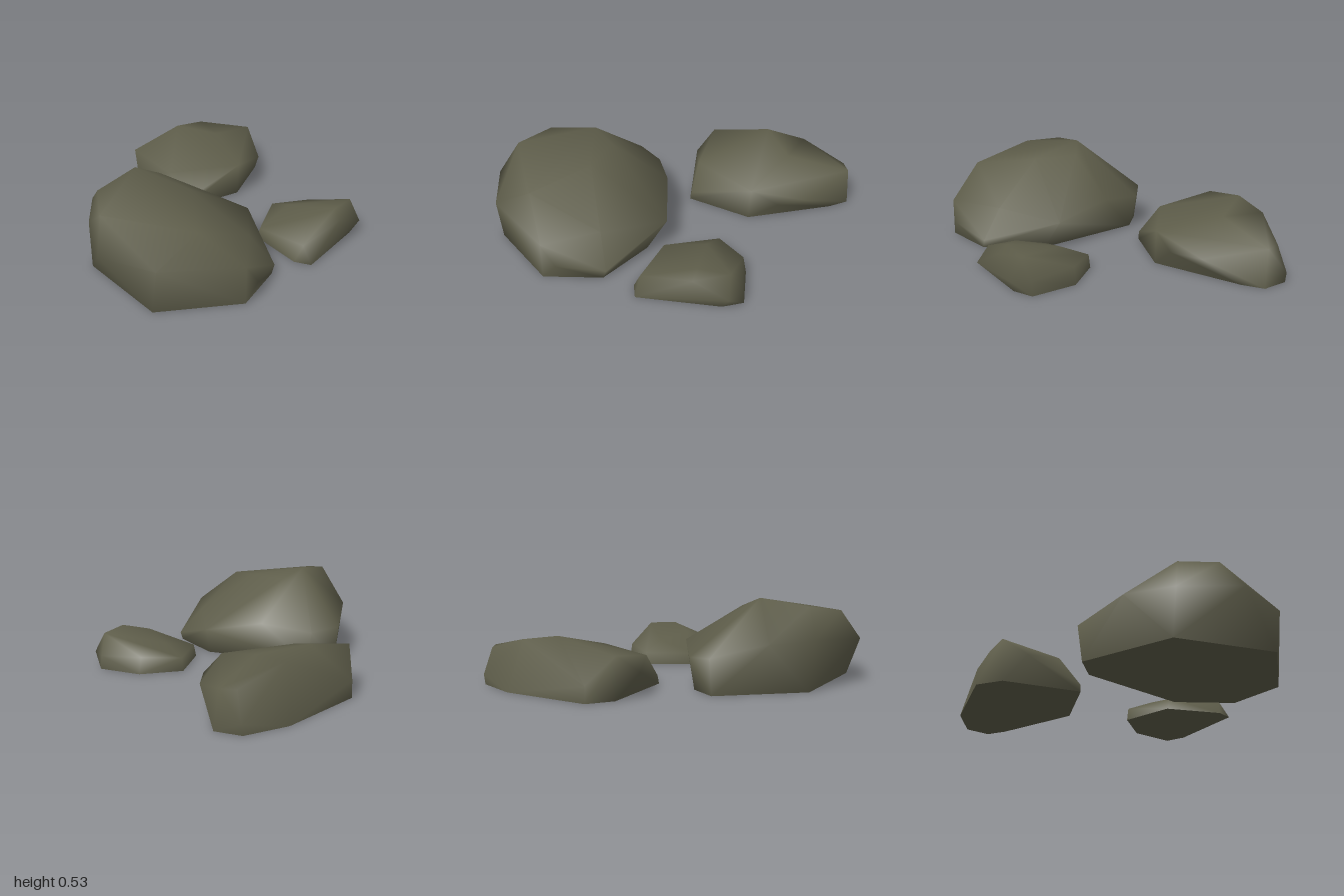
import * as THREE from 'three';
import { mergeVertices } from 'three/addons/utils/BufferGeometryUtils.js';
import { ConvexGeometry } from 'three/addons/geometries/ConvexGeometry.js';

// Each boulder: base corners [x, z], then body corners [x, y, z]
const ROCKS = {
  largeBoulder: {
    base: [[-0.84, 0.6], [-0.41, 0.85], [-0.09, 0.72], [0.02, 0.36],
      [-0.21, -0.27], [-0.37, -0.36], [-0.82, 0]],
    body: [[-1, 0.28, 0.35], [-0.84, 0.3, 0.02], [-0.66, 0.3, -0.22], [-0.37, 0.22, -0.39],
      [-0.2, 0.2, -0.31], [-0.03, 0.25, -0.05], [0.12, 0.18, 0.29], [-0.07, 0.05, 0.72],
      [-0.16, 0.22, 0.6], [-0.32, 0.1, 0.85], [-0.41, 0.22, 0.85], [-0.84, 0.26, 0.64],
      [-0.91, 0.455, 0.25], [-0.58, 0.41, 0.66], [-0.79, 0.49, 0.05], [-0.5, 0.53, 0],
      [-0.36, 0.47, 0.05], [-0.36, 0.465, 0.32]],
  },
  backBoulder: {
    base: [[0.05, -0.24], [0.47, -0.19], [0.91, -0.52], [1, -0.62], [0.95, -0.77],
      [0.7, -0.86], [0.15, -0.855], [0.04, -0.72]],
    body: [[-0.05, 0.15, -0.6], [0.02, 0.26, -0.74], [0.06, 0.05, -0.24], [0.05, 0.2, -0.38],
      [0.48, 0.2, -0.19], [0.65, 0.13, -0.21], [0.8, 0.13, -0.33], [0.98, 0.22, -0.64],
      [0.96, 0.06, -0.77], [0.93, 0.22, -0.72], [0.64, 0.305, -0.78], [0.4, 0.34, -0.75],
      [0.6, 0.29, -0.55], [0.15, 0.1, -0.855]],
  },
  smallBoulder: {
    base: [[0.14, 0.36], [0.42, 0.19], [0.64, 0.34], [0.72, 0.6], [0.62, 0.68],
      [0.15, 0.8], [0.1, 0.71]],
    body: [[0.42, 0.08, 0.2], [0.14, 0.07, 0.38], [0.62, 0.1, 0.34], [0.4, 0.14, 0.36],
      [0.71, 0.08, 0.6], [0.65, 0.205, 0.64], [0.47, 0.215, 0.68], [0.32, 0.175, 0.6],
      [0.15, 0.1, 0.73], [0.67, 0.08, 0.71], [0.46, 0.16, 0.73]],
  },
};

// Splits a hull into its flat underside and a softly shaded body
function splitHull(points) {
  const p = new ConvexGeometry(points).getAttribute('position').array;
  const parts = { body: [], base: [] };
  for (let i = 0; i < p.length; i += 9) {
    const onGround = Math.max(p[i + 1], p[i + 4], p[i + 7]) < 1e-4;
    parts[onGround ? 'base' : 'body'].push(...p.slice(i, i + 9));
  }
  return Object.entries(parts).map(([name, coords]) => {
    const raw = new THREE.BufferGeometry();
    raw.setAttribute('position', new THREE.Float32BufferAttribute(coords, 3));
    const geometry = mergeVertices(raw);
    geometry.computeVertexNormals();
    return [name, geometry];
  });
}

export function createModel() {
  const group = new THREE.Group();
  group.name = 'boulders';
  const stone = new THREE.MeshStandardMaterial({ color: 0x5e5d4a });
  stone.name = 'mossy stone';

  for (const [name, { base, body }] of Object.entries(ROCKS)) {
    const rock = new THREE.Group();
    rock.name = name;
    const points = [
      ...base.map(([x, z]) => new THREE.Vector3(x, 0, z)),
      ...body.map((p) => new THREE.Vector3(...p)),
    ];
    for (const [part, geometry] of splitHull(points)) {
      const mesh = new THREE.Mesh(geometry, stone);
      mesh.name = part;
      rock.add(mesh);
    }
    group.add(rock);
  }
  return group;
}
